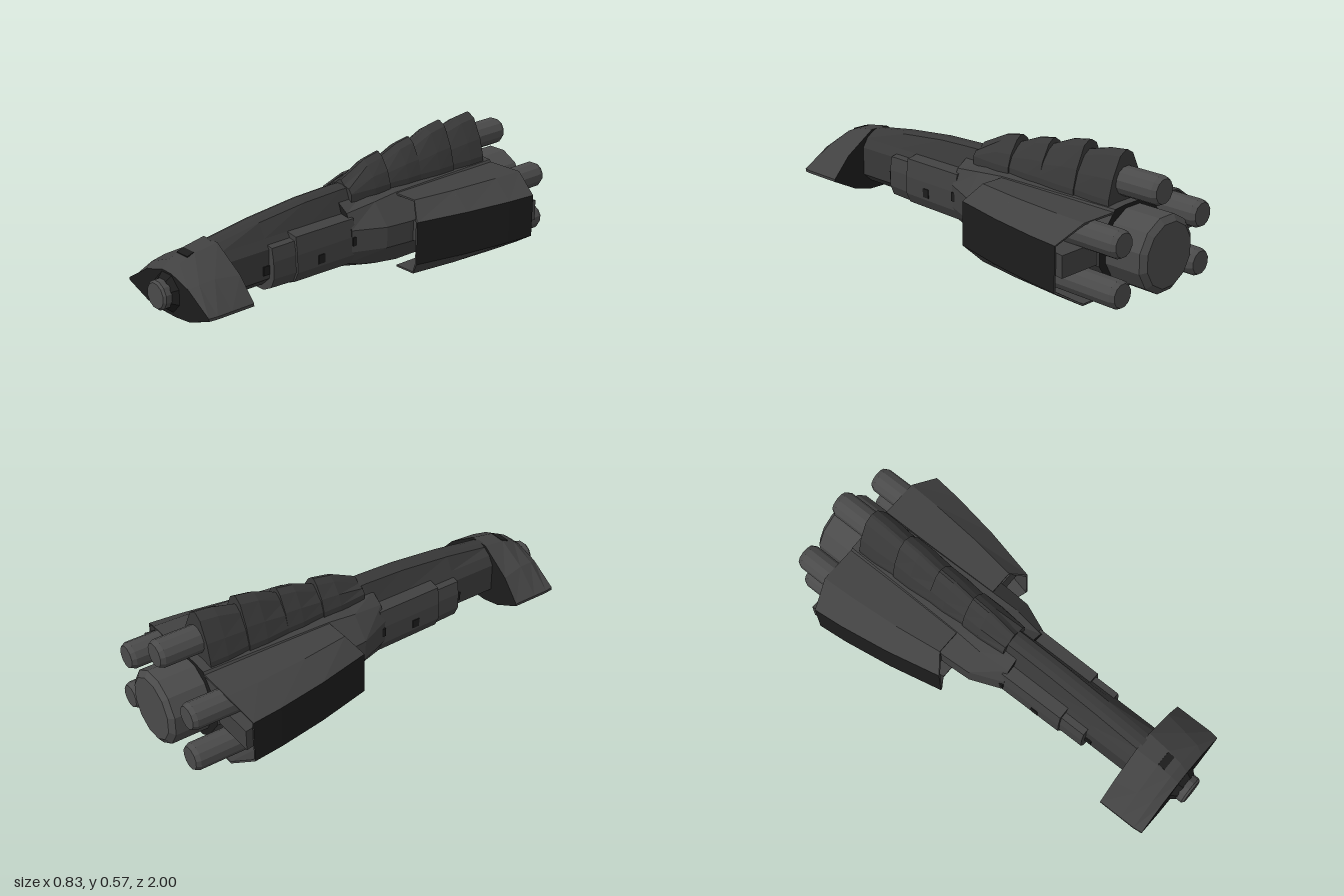
import * as THREE from 'three';

const mat = (name, color) => {
  const m = new THREE.MeshStandardMaterial({ color });
  m.name = name;
  return m;
};

// Faceted skin through rings of [x, y, z], front to back, counter-clockwise seen from the front.
// pick(j) gives the material index of side strip j; caps use capIndex.
function loft(rings, pick = () => 0, capIndex = 0) {
  const n = rings[0].length, pos = [], geo = new THREE.BufferGeometry();
  const quad = (a, b, c, d, m) => {
    geo.addGroup(pos.length / 3, 6, m);
    pos.push(...a, ...b, ...c, ...a, ...c, ...d);
  };
  for (let i = 0; i < rings.length - 1; i++) {
    for (let j = 0; j < n; j++) {
      const k = (j + 1) % n;
      quad(rings[i][j], rings[i + 1][j], rings[i + 1][k], rings[i][k], pick(j));
    }
  }
  const f = rings[0], b = rings[rings.length - 1];
  for (let k = 0; k < n / 2 - 1; k++) {
    const e = n - 1 - k;
    quad(f[k], f[k + 1], f[e - 1], f[e], capIndex);
    quad(b[e], b[e - 1], b[k + 1], b[k], capIndex);
  }
  geo.setAttribute('position', new THREE.Float32BufferAttribute(pos, 3));
  geo.computeVertexNormals();
  return geo;
}

// Symmetric ring from the +x half outline, bottom to top
const ring = (z, half) => [
  ...half.map(([x, y]) => [x, y, z]),
  ...half.slice().reverse().map(([x, y]) => [-x, y, z]),
];
const mirrored = (r) => r.map(([x, y, z]) => [-x, y, z]).reverse();

// Faceted turned part along z; profile is [radius, z], listed front to back
function turned(profile, sides) {
  const pts = profile.map(([r, z]) => new THREE.Vector2(r, -z));
  const g = new THREE.LatheGeometry(pts, sides, Math.PI / sides).rotateX(-Math.PI / 2).toNonIndexed();
  g.computeVertexNormals();
  return g;
}

export function createModel() {
  const group = new THREE.Group();
  const hull = mat('hull grey', 0x414141);
  const spine = mat('spine grey', 0x383838);
  const engine = mat('engine grey', 0x4a4a4a);
  const dark = mat('dark armour', 0x1c1c1c);
  const add = (name, geo, material, x = 0, y = 0, z = 0) => {
    const m = new THREE.Mesh(geo, material);
    m.name = name;
    m.position.set(x, y, z);
    group.add(m);
    return m;
  };

  // Wide pointed head with dark front and rear faces
  add('head', loft([
    ring(0.94, [[0.05, 0.085], [0.14, 0.095], [0.27, 0.143], [0.27, 0.155], [0.14, 0.235], [0.03, 0.268]]),
    ring(0.9, [[0.06, 0.066], [0.15, 0.085], [0.275, 0.143], [0.275, 0.155], [0.16, 0.25], [0.035, 0.3]]),
    ring(0.83, [[0.06, 0.062], [0.15, 0.082], [0.275, 0.143], [0.275, 0.155], [0.17, 0.258], [0.04, 0.329]]),
    ring(0.72, [[0.06, 0.06], [0.15, 0.08], [0.275, 0.143], [0.275, 0.155], [0.19, 0.25], [0.045, 0.346]]),
  ], () => 0, 1), [hull, dark]);
  add('noseCollar', turned([[0, 0.965], [0.065, 0.965], [0.086, 0.94], [0.086, 0.9]], 8), dark, 0, 0.18);
  add('noseCap', turned([[0, 1], [0.055, 1], [0.064, 0.99], [0.064, 0.95]], 12), engine, 0, 0.18);
  const port = add('headPort', new THREE.BoxGeometry(0.07, 0.008, 0.035), dark, 0, 0.322, 0.845);
  port.rotation.x = 0.3;

  // Neck core rising to a ridge
  const neck = (z, top) => ring(z, [[0.055, 0.1], [0.1, 0.14], [0.1, 0.27], [0.075, 0.31], [0.04, top - 0.01], [0.015, top]]);
  add('neck', loft([neck(0.73, 0.345), neck(0.5, 0.38), neck(0.25, 0.405), neck(0.05, 0.412), neck(-0.05, 0.41)]), spine);

  // Stepped neck armour
  const collar = (z, w, low, high) =>
    ring(z, [[0.06, low], [w * 0.85, low + 0.025], [w, low + 0.07], [w, 0.22], [w - 0.01, high - 0.01], [0.07, high]]);
  add('frontNeckArmour', loft([collar(0.5, 0.13, 0.075, 0.29), collar(0.36, 0.13, 0.07, 0.29)]), hull);
  add('rearNeckArmour', loft([collar(0.38, 0.14, 0.07, 0.31), collar(0.06, 0.143, 0.066, 0.31)]), hull);

  // Main hull flaring out behind the neck
  add('mainHull', loft([
    ring(0.08, [[0.06, 0.06], [0.115, 0.09], [0.143, 0.15], [0.143, 0.25], [0.11, 0.32], [0.05, 0.36]]),
    ring(-0.07, [[0.07, 0.03], [0.13, 0.055], [0.205, 0.15], [0.205, 0.245], [0.125, 0.34], [0.05, 0.36]]),
    ring(-0.2, [[0.07, 0.012], [0.125, 0.035], [0.212, 0.145], [0.212, 0.24], [0.12, 0.35], [0.05, 0.36]]),
    ring(-0.81, [[0.07, 0.004], [0.12, 0.03], [0.2, 0.14], [0.2, 0.24], [0.11, 0.355], [0.05, 0.36]]),
  ], () => 0, 1), [hull, dark]);

  // Overlapping back plates: [front z, front top, rear z, rear top]
  const scale = (z, t, w) => ring(z, [[w, 0.34], [w, 0.38], [w * 0.8, 0.38 + (t - 0.38) * 0.42], [w * 0.38, t - 0.02], [0.006, t]]);
  [[0.02, 0.43, -0.2, 0.51, 0.085], [-0.19, 0.475, -0.385, 0.535, 0.09],
    [-0.36, 0.5, -0.58, 0.57, 0.1], [-0.56, 0.525, -0.77, 0.568, 0.104]].forEach(([z0, t0, z1, t1, w], i) => {
    const zm = z0 + (z1 - z0) * 0.6, tm = t0 + (t1 - t0) * 0.78;
    add('backPlate' + (i + 1), loft([scale(z0, t0, w - 0.012), scale(zm, tm, w), scale(z1, t1, w)]), spine);
  });

  // Wing shells: open C-section plates, bottom to top
  const wingRing = (flat, wall, zFlat, zWall) => {
    const section = (d) => [
      [0.13, d, zFlat], [flat - d * 0.4, d, zFlat], [wall - d, 0.078 + d * 0.5, zWall],
      [wall - d, 0.274 - d * 0.5, zWall], [flat - d * 0.4, 0.346 - d, zFlat], [0.12, 0.346 - d, zFlat],
    ];
    return [...section(0), ...section(0.008).reverse()];
  };
  const wing = [wingRing(0.235, 0.305, -0.2, -0.15), wingRing(0.265, 0.362, -0.42, -0.4),
    wingRing(0.285, 0.4, -0.66, -0.63), wingRing(0.292, 0.415, -0.81, -0.77)];
  const strut = (w, z) => [[0.15, 0.145, z], [w, 0.145, z], [w, 0.24, z], [0.15, 0.24, z]];
  const struts = [strut(0.31, -0.22), strut(0.405, -0.8)];
  add('leftWing', loft(wing, (j) => (j === 2 ? 1 : 0)), [hull, dark]);
  add('rightWing', loft(wing.map(mirrored), (j) => (j === 8 ? 1 : 0)), [hull, dark]);
  add('leftStrut', loft(struts), hull);
  add('rightStrut', loft(struts.map(mirrored)), hull);

  // Engines
  const pod = (r, z0, z1) => turned([[0, z0], [r, z0], [r, z1 + 0.02], [r * 0.84, z1], [0, z1]], 12);
  add('mainEngine', pod(0.165, -0.7, -1), engine, 0, 0.185);
  add('topEngine', pod(0.062, -0.6, -0.965), engine, 0, 0.44);
  for (const s of [-1, 1]) {
    add('upperEngine', pod(0.06, -0.4, -0.972), engine, s * 0.245, 0.285);
    add('lowerEngine', pod(0.06, -0.4, -0.972), engine, s * 0.245, 0.077);
    // Small dark side ports
    [[0.101, 0.18, 0.515], [0.141, 0.17, 0.25], [0.148, 0.2, 0.06]].forEach(([x, y, z]) =>
      add('sidePort', new THREE.BoxGeometry(0.008, 0.04, 0.035), dark, s * x, y, z));
  }
  return group;
}
